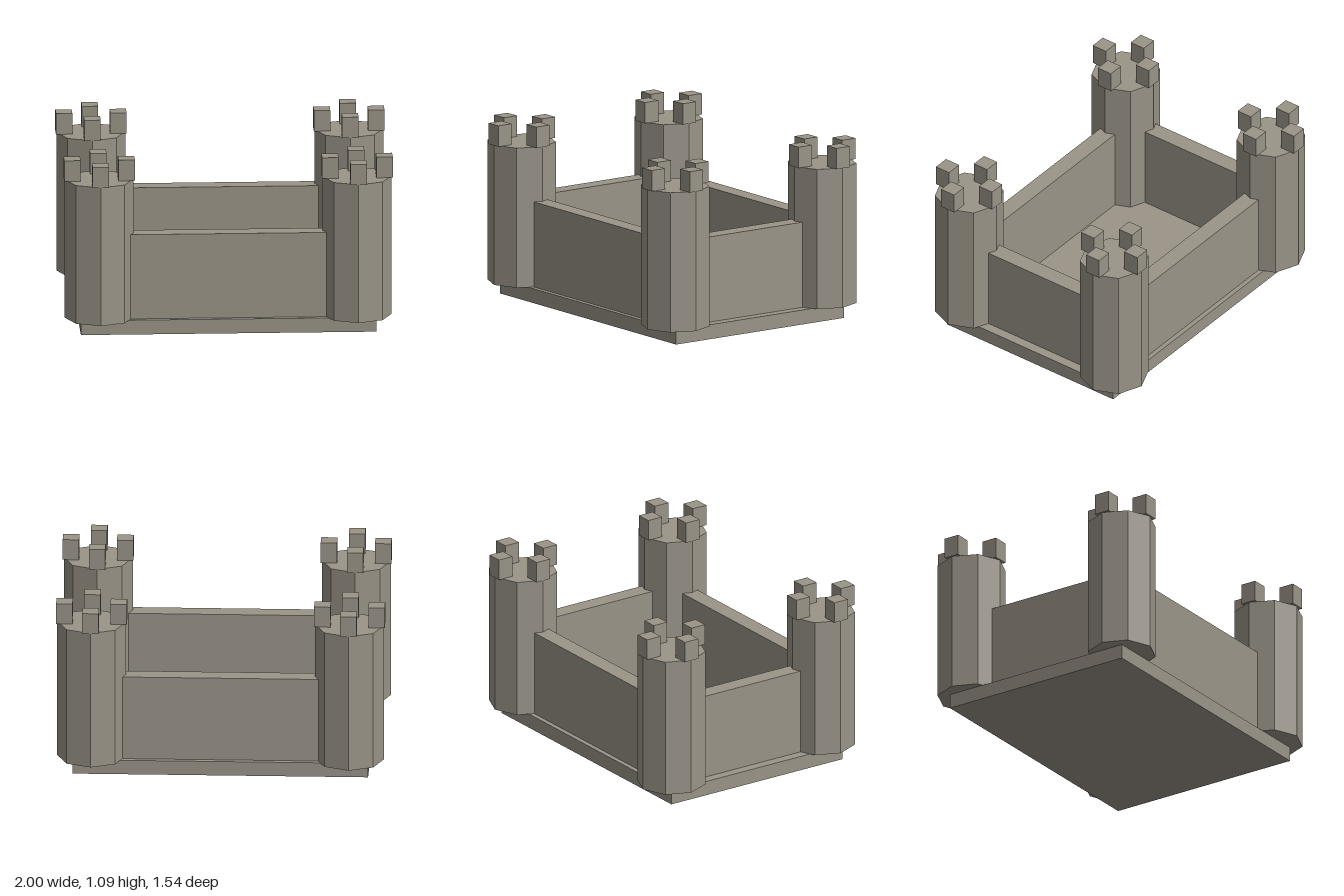
import * as THREE from 'three';

const TX = 0.785, TZ = 0.555; // tower centres
const BASE_H = 0.09, WALL_TOP = 0.62, TOWER_TOP = 0.96, TOP = 1.09;

export function createModel() {
  const castle = new THREE.Group();
  castle.name = 'castle';
  const stone = new THREE.MeshStandardMaterial({ color: 0x9a9488, flatShading: true });
  stone.name = 'stone';

  const add = (parent, name, geometry, x, y, z) => {
    const mesh = new THREE.Mesh(geometry, stone);
    mesh.name = name;
    mesh.position.set(x, y, z);
    parent.add(mesh);
  };

  // Base slab
  add(castle, 'base', new THREE.BoxGeometry(1.8, BASE_H, 1.27), 0, BASE_H / 2, 0);

  // Walls, ending inside the towers
  const wallH = WALL_TOP - BASE_H, wallY = (WALL_TOP + BASE_H) / 2;
  const longWall = new THREE.BoxGeometry(TX * 2 - 0.2, wallH, 0.108);
  const shortWall = new THREE.BoxGeometry(0.108, wallH, TZ * 2 - 0.2);
  add(castle, 'frontWall', longWall, 0, wallY, 0.551);
  add(castle, 'backWall', longWall, 0, wallY, -0.551);
  add(castle, 'leftWall', shortWall, 0.784, wallY, 0);
  add(castle, 'rightWall', shortWall, -0.784, wallY, 0);

  // Eight-sided corner towers, each with four merlons
  const shaft = new THREE.CylinderGeometry(0.21, 0.21, TOWER_TOP - BASE_H, 8);
  const merlon = new THREE.BoxGeometry(0.1, TOP - TOWER_TOP, 0.1);
  for (const sx of [1, -1]) {
    for (const sz of [1, -1]) {
      const tower = new THREE.Group();
      tower.name = (sz > 0 ? 'front' : 'back') + (sx > 0 ? 'Left' : 'Right') + 'Tower';
      tower.position.set(sx * TX, 0, sz * TZ);
      add(tower, 'towerShaft', shaft, 0, (TOWER_TOP + BASE_H) / 2, 0);
      for (const [dx, dz] of [[1, 0], [-1, 0], [0, 1], [0, -1]]) {
        add(tower, 'merlon', merlon, dx * 0.165, (TOWER_TOP + TOP) / 2, dz * 0.165);
      }
      castle.add(tower);
    }
  }
  return castle;
}
